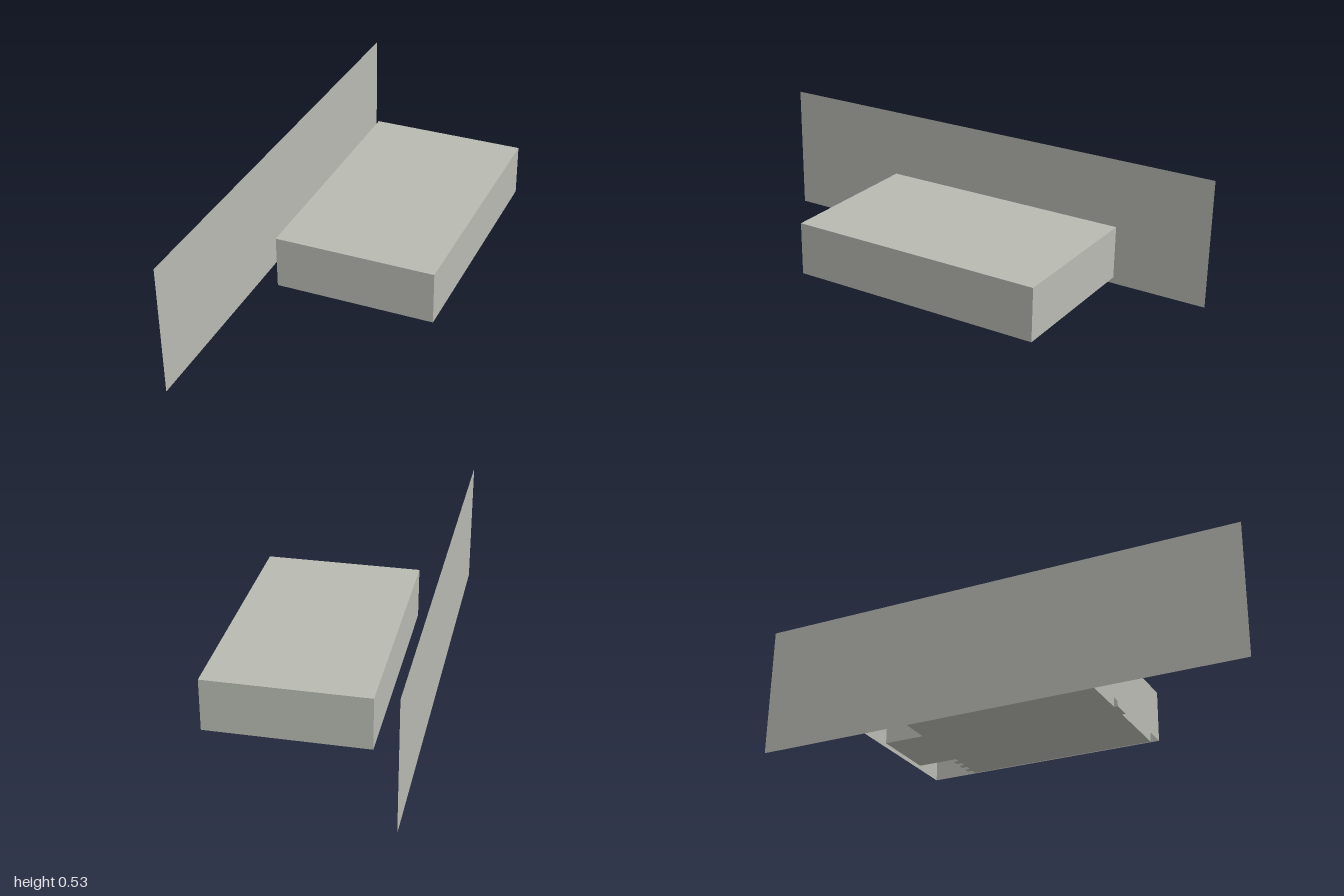
import * as THREE from 'three';

const stone = new THREE.MeshStandardMaterial({ color: 0xb8bab2, side: THREE.DoubleSide });
stone.name = 'pale stone grey';

// Extents of the hollow block
const X0 = -0.25, X1 = 0.395, Y0 = 0.102, Y1 = 0.317, Z0 = -0.67, Z1 = 0.37;
const W = X1 - X0, H = Y1 - Y0, D = Z1 - Z0;
const CX = (X0 + X1) / 2, CY = (Y0 + Y1) / 2, CZ = (Z0 + Z1) / 2;

function add(group, name, geometry, x = 0, y = 0, z = 0) {
  const mesh = new THREE.Mesh(geometry, stone);
  mesh.name = name;
  mesh.position.set(x, y, z);
  group.add(mesh);
  return mesh;
}

// Thin sheet turned to face the wanted direction
function sheet(group, name, w, h, rx, ry, x, y, z) {
  const geometry = new THREE.PlaneGeometry(w, h).rotateX(rx).rotateY(ry);
  return add(group, name, geometry, x, y, z);
}

export function createModel() {
  const model = new THREE.Group();
  model.name = 'wallMountedBlock';
  const q = Math.PI / 2;

  // Upright backing wall
  sheet(model, 'backingWall', 2, 0.533, 0, q, -0.395, 0.2665, 0);

  // Outer shell, open underneath
  const shell = new THREE.Group();
  shell.name = 'outerShell';
  model.add(shell);
  sheet(shell, 'roof', W, D, -q, 0, CX, Y1, CZ);
  sheet(shell, 'frontWall', W, H, 0, 0, CX, CY, Z1);
  sheet(shell, 'backWall', W, H, 0, 2 * q, CX, CY, Z0);
  sheet(shell, 'leftWall', D, H, 0, q, X1, CY, CZ);
  sheet(shell, 'rightWall', D, H, 0, -q, X0, CY, CZ);

  // Inner core: notched back corners with a tongue between, small tab at front
  const e = 0.004;
  const outline = [
    [X0 + e, -0.475], [-0.063, -0.475], [-0.063, -0.648], [0.215, -0.648],
    [0.215, -0.475], [X1 - e, -0.475], [X1 - e, 0.335], [0.085, 0.335],
    [0.085, 0.35], [0.005, 0.35], [0.005, 0.335], [X0 + e, 0.335],
  ];
  const shape = new THREE.Shape(outline.map(([x, z]) => new THREE.Vector2(x, z)));
  const depth = 0.207;
  const core = new THREE.ExtrudeGeometry(shape, { depth, bevelEnabled: false }).rotateX(q);
  add(model, 'innerCore', core, 0, Y0 + 0.001 + depth, 0);

  // Upright ribs in the left back notch
  for (const x of [0.255, 0.305, 0.355]) {
    add(model, 'notchRib', new THREE.BoxGeometry(0.025, 0.205, 0.025), x, 0.207, -0.4875);
  }

  return model;
}
